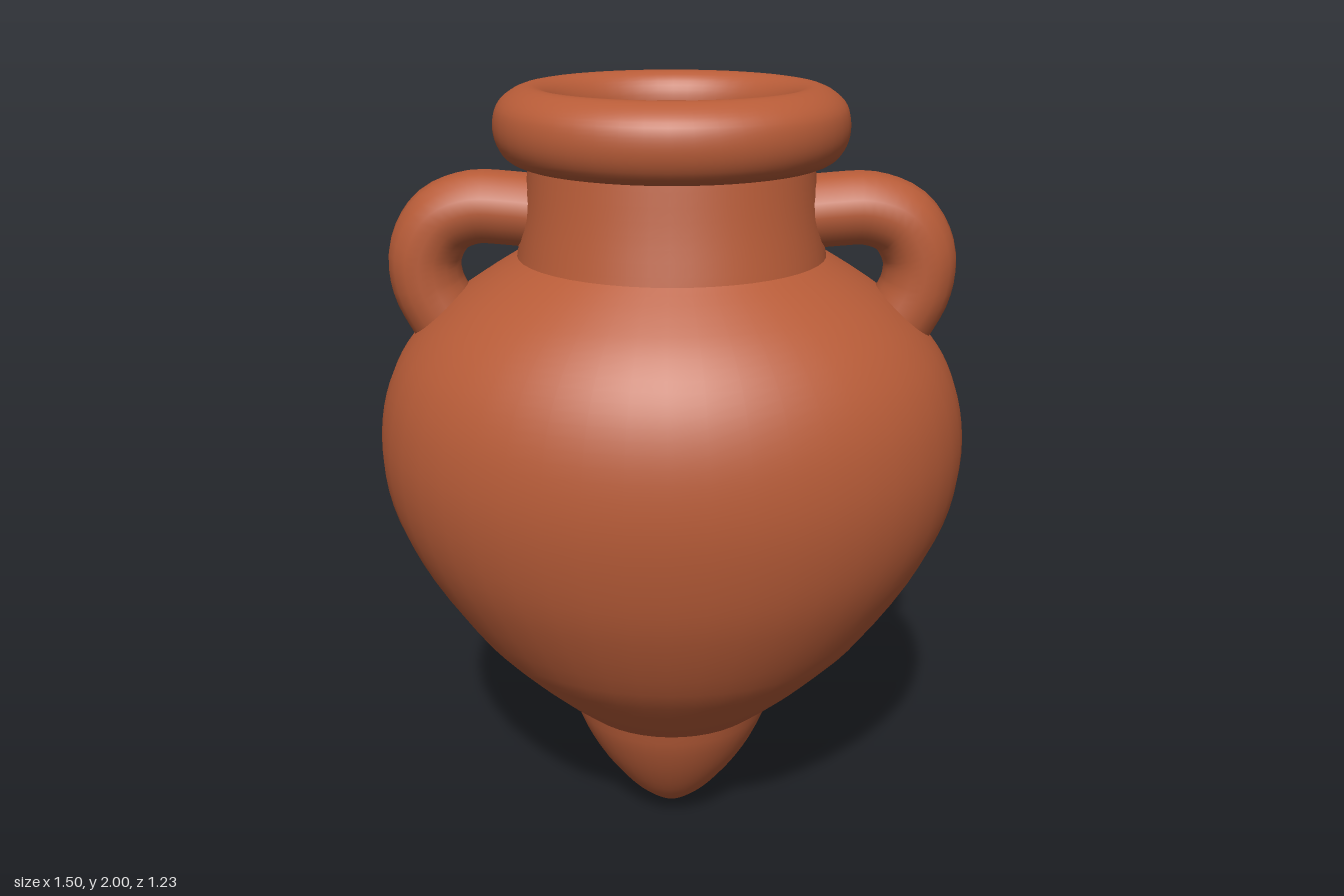
import * as THREE from 'three';

const SEGMENTS = 48;

// Skin oval rings, each [y, x radius, z radius]; the rows follow a smooth curve unless steps is 0
function oval(rings, steps, material, name) {
  let rows = rings.map((r) => new THREE.Vector3(r[1], r[0], r[2]));
  if (steps) rows = new THREE.CatmullRomCurve3(rows, false, 'centripetal').getPoints(steps);
  const positions = [], index = [];
  rows.forEach((p, j) => {
    for (let i = 0; i < SEGMENTS; i++) {
      const a = (i / SEGMENTS) * Math.PI * 2;
      positions.push(p.x * Math.sin(a), p.y, p.z * Math.cos(a));
      if (j === rows.length - 1) continue;
      const k = (i + 1) % SEGMENTS, lo = j * SEGMENTS, hi = lo + SEGMENTS;
      index.push(lo + i, lo + k, hi + k, lo + i, hi + k, hi + i);
    }
  });
  const geometry = new THREE.BufferGeometry();
  geometry.setAttribute('position', new THREE.Float32BufferAttribute(positions, 3));
  geometry.setIndex(index);
  geometry.computeVertexNormals();
  const mesh = new THREE.Mesh(geometry, material);
  mesh.name = name;
  return mesh;
}

export function createModel() {
  const group = new THREE.Group();
  group.name = 'amphora';
  const clay = new THREE.MeshStandardMaterial({ color: 0xb85c38 });
  clay.name = 'terracotta';

  // Pointed foot
  group.add(oval([
    [0, 0, 0], [0.015, 0.035, 0.045], [0.05, 0.08, 0.095], [0.1, 0.13, 0.148],
    [0.2, 0.205, 0.213], [0.3, 0.255, 0.257], [0.37, 0.275, 0.275],
  ], 20, clay, 'foot'));

  // Egg-shaped body, flattened front to back
  group.add(oval([
    [0.355, 0.27, 0.27], [0.42, 0.35, 0.335], [0.5, 0.435, 0.405], [0.6, 0.53, 0.478],
    [0.8, 0.665, 0.567], [0.95, 0.73, 0.603], [1.09, 0.75, 0.617], [1.22, 0.735, 0.607],
    [1.32, 0.697, 0.58], [1.4, 0.64, 0.54], [1.47, 0.565, 0.485], [1.53, 0.48, 0.42],
    [1.59, 0.383, 0.347],
  ], 40, clay, 'body'));
  group.add(oval([[0.355, 0, 0], [0.355, 0.27, 0.27]], 0, clay, 'bodyUnderside'));

  // Neck, its inner wall and the floor of the opening
  group.add(oval([[1.58, 0.386, 0.351], [1.7, 0.365, 0.325], [1.83, 0.348, 0.303]], 8, clay, 'neck'));
  group.add(oval([[1.93, 0.268, 0.24], [1.585, 0.262, 0.235]], 0, clay, 'neckInside'));
  group.add(oval([[1.587, 0.3, 0.27], [1.587, 0, 0]], 0, clay, 'mouthFloor'));

  // Thick rolled lip
  group.add(oval([
    [1.815, 0.3, 0.26], [1.815, 0.37, 0.325], [1.835, 0.407, 0.362], [1.87, 0.427, 0.381],
    [1.91, 0.432, 0.386], [1.95, 0.423, 0.377], [1.982, 0.392, 0.347], [1.999, 0.345, 0.305],
    [1.985, 0.303, 0.268], [1.95, 0.276, 0.246], [1.9, 0.266, 0.238],
  ], 36, clay, 'lip'));

  // Looped handles from neck to shoulder
  const path = new THREE.CatmullRomCurve3([
    [0.31, 1.69], [0.4, 1.7], [0.49, 1.702], [0.57, 1.668],
    [0.615, 1.59], [0.612, 1.51], [0.58, 1.44], [0.53, 1.36],
  ].map(([x, y]) => new THREE.Vector3(x, y, 0)));
  for (const side of [1, -1]) {
    const geometry = new THREE.TubeGeometry(path, 28, 0.091, 16);
    const handle = new THREE.Mesh(geometry.scale(1, 1, 1.12), clay);
    handle.rotation.y = side > 0 ? 0 : Math.PI;
    handle.name = side > 0 ? 'leftHandle' : 'rightHandle';
    group.add(handle);
  }
  return group;
}
